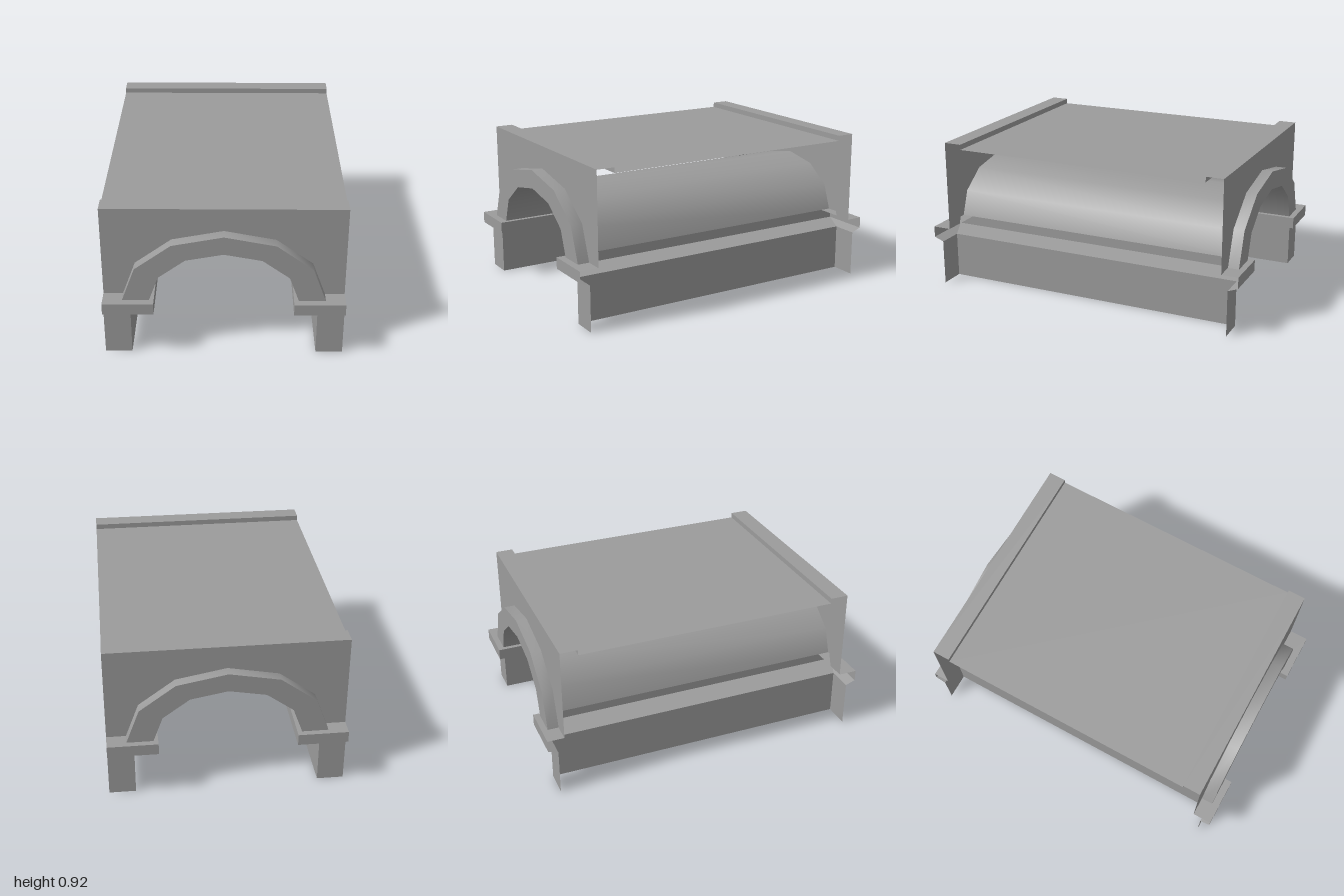
import * as THREE from 'three';

const FRONT = 0.886, BACK = -0.9, RING_FRONT = 0.956, RING_BACK = -0.965;
const HALF = 0.69, SPRING = 0.368, TOP = 0.922;

const material = new THREE.MeshStandardMaterial({ color: 0x9b9b9b, side: THREE.DoubleSide });

// Full arch, left to right, from the right half of its outline
const arch = half => [
  ...half.map(([x, y]) => [-x, y]),
  ...half.slice(0, -1).reverse(),
];
const INNER = arch([[0.425, SPRING], [0.37, 0.52], [0.215, 0.634], [0, 0.674]]);
const OUTER = arch([[0.578, SPRING], [0.502, 0.575], [0.293, 0.729], [0, 0.785]]);

// Surface through rows of points, smooth or faceted
function sheet(rows, smooth = false) {
  const n = rows[0].length, index = [];
  for (let r = 0; r < rows.length - 1; r++) {
    for (let c = 0; c < n - 1; c++) {
      const a = r * n + c, d = a + n;
      index.push(a, a + 1, d, a + 1, d + 1, d);
    }
  }
  let geometry = new THREE.BufferGeometry();
  geometry.setAttribute('position', new THREE.Float32BufferAttribute(rows.flat(2), 3));
  geometry.setIndex(index);
  if (!smooth) geometry = geometry.toNonIndexed();
  geometry.computeVertexNormals();
  return geometry;
}

const atZ = (points, z) => points.map(([x, y]) => [x, y, z]);

export function createModel() {
  const model = new THREE.Group();
  model.name = 'archedBridge';
  const add = (name, geometry) => {
    const mesh = new THREE.Mesh(geometry, material);
    mesh.name = name;
    model.add(mesh);
    return mesh;
  };

  // Barrel vault running the full length
  add('vault', sheet([atZ(INNER, RING_BACK), atZ(INNER, RING_FRONT)], true));

  // Raised arch rings at both ends
  add('frontRingFace', sheet([atZ(INNER, RING_FRONT), atZ(OUTER, RING_FRONT)]));
  add('frontRingEdge', sheet([atZ(OUTER, RING_FRONT), atZ(OUTER, FRONT)], true));
  add('backRingFace', sheet([atZ(OUTER, RING_BACK), atZ(INNER, RING_BACK)]));
  add('backRingEdge', sheet([atZ(OUTER, BACK), atZ(OUTER, RING_BACK)], true));

  // End panels, cut out around the rings
  const outline = new THREE.Shape([
    [-HALF, SPRING], ...OUTER, [HALF, SPRING], [HALF, TOP], [-HALF, TOP],
  ].map(([x, y]) => new THREE.Vector2(x, y)));
  add('frontPanel', new THREE.ShapeGeometry(outline)).position.z = FRONT;
  const back = add('backPanel', new THREE.ShapeGeometry(outline));
  back.position.z = BACK;
  back.rotation.y = Math.PI;

  // Deck with a low raised lip at each end
  const deckProfile = [
    [TOP, FRONT], [TOP, 0.778], [0.89, 0.778], [0.89, -0.795], [TOP, -0.795], [TOP, BACK],
  ];
  add('deck', sheet(deckProfile.map(([y, z]) => [[-HALF, y, z], [HALF, y, z]])));

  // Side walls and cornices wrap the inner side and both ends, open outside
  for (const side of [1, -1]) {
    const wrap = (x, y, zFront, zBack) => [
      [side * HALF, y, zBack], [side * x, y, zBack],
      [side * x, y, zFront], [side * HALF, y, zFront],
    ];
    const facing = rows => side > 0 ? rows : rows.reverse();
    const prefix = side > 0 ? 'left' : 'right';

    add(prefix + 'Wall', sheet(facing([
      wrap(0.535, 0, 0.94, -0.94),
      wrap(0.535, 0.277, 0.94, -0.94),
    ])));
    add(prefix + 'Cornice', sheet(facing([
      wrap(0.535, 0.277, 0.94, -0.94),
      wrap(0.398, 0.3, 1, -1),
      wrap(0.398, SPRING, 1, -1),
      wrap(0.425, SPRING, FRONT, BACK),
    ])));
  }

  return model;
}
